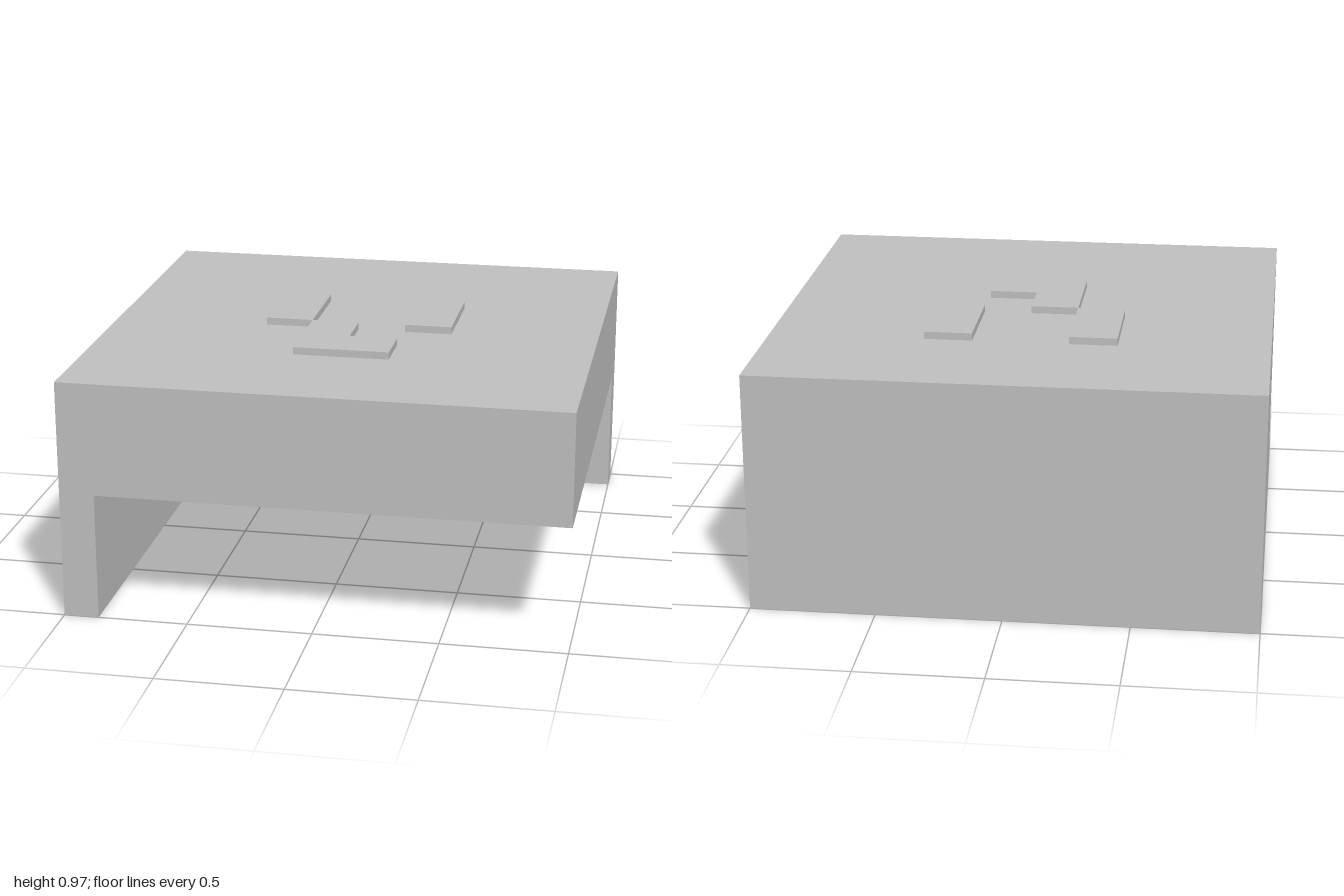
import * as THREE from 'three';

const HEIGHT = 0.97, UNDERSIDE = 0.515, FLOOR = 0.94, WALL = 0.14, RECESS = 0.585, CELL = 0.195;

// Shape from [x, z] corners; z is flipped because extrusions are laid flat
const outline = (points) => new THREE.Shape(points.map(([x, z]) => new THREE.Vector2(x, -z)));

const square = (r) => [[-r, -r], [r, -r], [r, r], [-r, r]];

export function createModel() {
  const group = new THREE.Group();
  const grey = new THREE.MeshStandardMaterial({ color: 0xc0c0c0 });
  grey.name = 'plain grey';

  // Extrudes a plan shape upward between two heights
  const addPart = (name, shape, bottom, top) => {
    const geometry = new THREE.ExtrudeGeometry(shape, { depth: top - bottom, bevelEnabled: false });
    geometry.rotateX(-Math.PI / 2).translate(0, bottom, 0);
    const mesh = new THREE.Mesh(geometry, grey);
    mesh.name = name;
    group.add(mesh);
  };

  // Corner support: one wall along the back, one along the right side
  const inner = -1 + WALL;
  addPart('cornerWalls', outline([[-1, -1], [1, -1], [1, inner], [inner, inner], [inner, 1], [-1, 1]]), 0, UNDERSIDE);

  // Thick slab, with a shallow square recess in its top
  addPart('slab', outline(square(1)), UNDERSIDE, FLOOR);
  const rim = outline(square(1));
  rim.holes.push(outline(square(RECESS)));
  addPart('recessRim', rim, FLOOR, HEIGHT);

  // Raised blocks on the recess floor, level with the rim
  const c = CELL;
  addPart('rightBlock', outline([[-2 * c, -2 * c], [-c, -2 * c], [-c, 0], [-2 * c, 0]]), FLOOR, HEIGHT);
  addPart('leftBlock', outline([[c, -2 * c], [2 * c, -2 * c], [2 * c, 0], [c, 0]]), FLOOR, HEIGHT);
  addPart('cornerBlock', outline([[-c, 0], [0, 0], [0, c], [c, c], [c, 2 * c], [-c, 2 * c]]), FLOOR, HEIGHT);

  return group;
}
